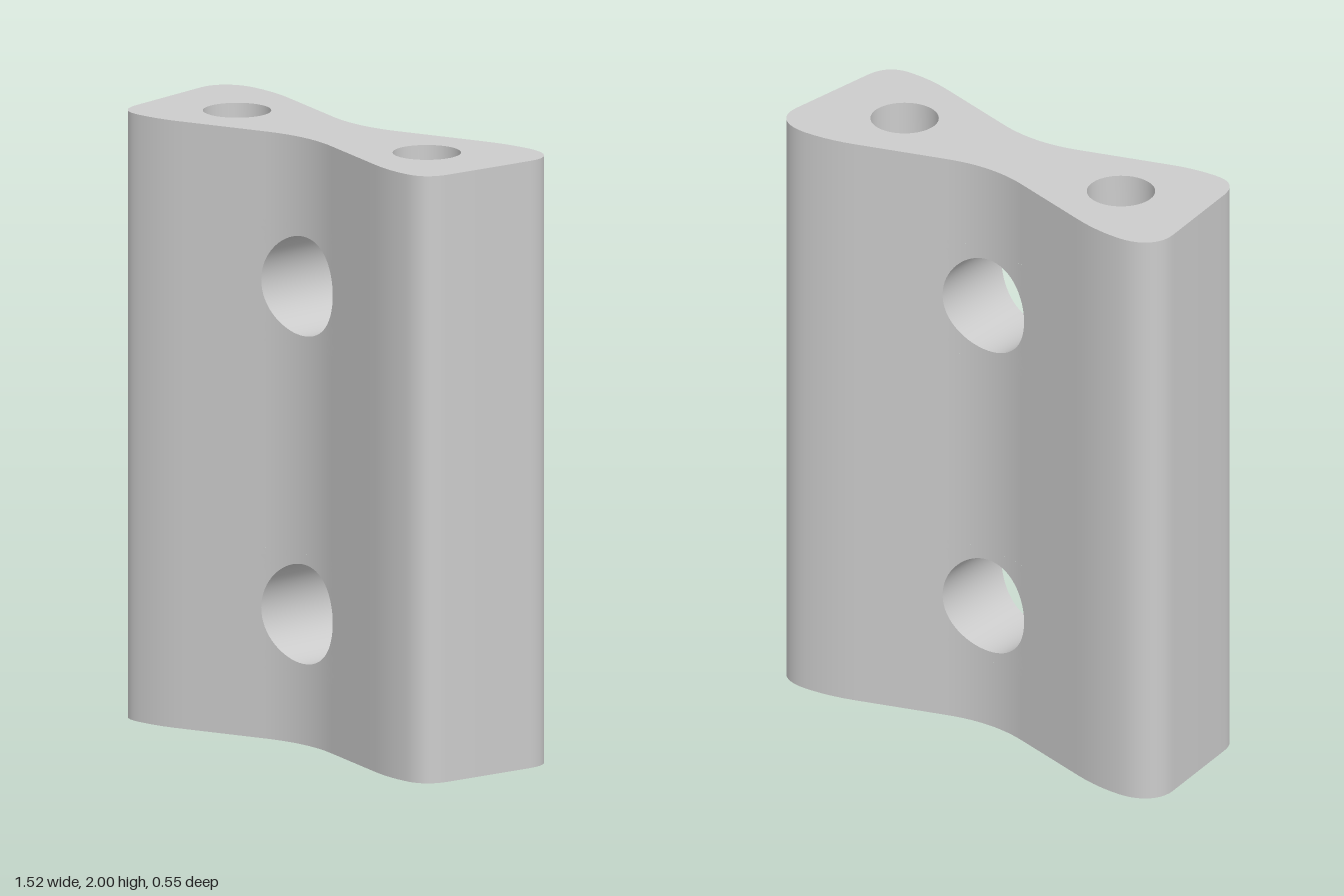
import * as THREE from 'three';
import { toCreasedNormals } from 'three/addons/utils/BufferGeometryUtils.js';
import { ParametricGeometry } from 'three/addons/geometries/ParametricGeometry.js';

const HEIGHT = 2;
const HOLE_Y = [0.43, 1.51]; // cross holes
const HOLE_R = 0.164;
const CELL = 0.2; // half size of the wall square around a cross hole
const BORE_X = 0.435; // vertical bores
const FRONT_END = 0.61, BACK_END = 0.63;

// Half thickness of the waisted block: curved waist, straight flank, flattening shoulder
function thickness(x, end) {
  const s = 0.31, a = 0.15, b = 0.45;
  x = Math.abs(x);
  if (x < a) return 0.13 + s * x * x / (2 * a);
  const line = 0.13 + s * a / 2 + s * (Math.min(x, b) - a);
  if (x < b) return line;
  const t = x - b;
  return line + s * t - s * t * t / (2 * (end - b));
}
const wallZ = (x, side) => side * thickness(x, side > 0 ? FRONT_END : BACK_END);

// Outline of one end of the block, from the front flank round the corners to the back flank
function endOutline() {
  const v = (x, z) => new THREE.Vector2(x, z);
  const flank = (side, end) => Array.from({ length: 13 }, (_, i) => {
    const x = CELL + (end - CELL) * i / 12;
    return v(x, wallZ(x, side));
  });
  const front = flank(1, FRONT_END), back = flank(-1, BACK_END).reverse();
  const c1 = new THREE.CubicBezierCurve(front[12], v(0.67, 0.272), v(0.706, 0.245), v(0.716, 0.18));
  const c2 = new THREE.CubicBezierCurve(v(0.757, -0.15), v(0.767, -0.225), v(0.715, -0.274), back[0]);
  return [...front, ...c1.getPoints(10).slice(1), ...c2.getPoints(10), ...back.slice(1)];
}

export function createModel() {
  const group = new THREE.Group();
  const material = new THREE.MeshStandardMaterial({ color: 0xcccccc });
  const add = (name, geometry) => {
    const mesh = new THREE.Mesh(geometry, material);
    mesh.name = name;
    group.add(mesh);
    return mesh;
  };
  // Smooth patch from a rule; flip turns its face the other way
  const surface = (name, rule, nu, nv, flip) =>
    add(name, new ParametricGeometry((u, v, p) => p.set(...rule(flip ? 1 - u : u, v)), nu, nv));

  // Rounded ends
  const outline = endOutline();
  const curve = new THREE.CatmullRomCurve3(outline.map(p => new THREE.Vector3(p.x, 0, p.y)));
  for (const side of [1, -1]) {
    surface(side > 0 ? 'leftEnd' : 'rightEnd', (u, v) => {
      const p = curve.getPoint(u);
      return [side * p.x, v * HEIGHT, p.z];
    }, outline.length - 1, 1, side < 0);
  }

  // Waist walls, front and back, with the cross holes left open
  const bands = [[0, HOLE_Y[0] - CELL], [HOLE_Y[0] + CELL, HOLE_Y[1] - CELL], [HOLE_Y[1] + CELL, HEIGHT]];
  for (const side of [1, -1]) {
    const label = side > 0 ? 'front' : 'back';
    for (const [y0, y1] of bands) {
      surface(label + 'WaistBand', (u, v) => {
        const x = CELL * (2 * u - 1);
        return [x, y0 + (y1 - y0) * v, wallZ(x, side)];
      }, 24, 1, side < 0);
    }
    for (const y of HOLE_Y) {
      surface(label + 'HoleSurround', (u, v) => {
        const a = u * Math.PI * 2, c = Math.cos(a), s = Math.sin(a);
        const r = HOLE_R + (CELL / Math.max(Math.abs(c), Math.abs(s)) - HOLE_R) * v;
        return [r * c, y + r * s, wallZ(r * c, side)];
      }, 64, 4, side > 0);
    }
  }

  // Cross hole linings
  for (const y of HOLE_Y) {
    surface('crossHole', (u, v) => {
      const a = u * Math.PI * 2, x = HOLE_R * Math.cos(a);
      const z0 = wallZ(x, -1), z1 = wallZ(x, 1);
      return [x, y + HOLE_R * Math.sin(a), z0 + (z1 - z0) * v];
    }, 64, 1, true);
  }

  // Flat top and bottom with round openings
  const waist = side => Array.from({ length: 23 }, (_, i) => {
    const x = side * CELL * ((i + 1) / 12 - 1);
    return new THREE.Vector2(x, wallZ(x, side));
  });
  const mirrored = outline.map(p => new THREE.Vector2(-p.x, p.y)).reverse();
  const ring = [...outline, ...waist(-1), ...mirrored, ...waist(1)];
  for (const top of [true, false]) {
    const shape = new THREE.Shape(ring.map(p => new THREE.Vector2(p.x, top ? -p.y : p.y)));
    for (const x of [-BORE_X, BORE_X]) {
      shape.holes.push(new THREE.Path().absarc(x, 0, 0.11, 0, Math.PI * 2, true));
    }
    const cap = new THREE.ShapeGeometry(shape, 24).rotateX(top ? -Math.PI / 2 : Math.PI / 2);
    add(top ? 'topFace' : 'bottomFace', cap).position.y = top ? HEIGHT : 0;
  }

  // Vertical bores, widened at both ends
  const depth = 0.4;
  const profile = [[0.11, HEIGHT], [0.11, HEIGHT - depth], [0.055, HEIGHT - depth],
    [0.055, depth], [0.11, depth], [0.11, 0]].map(p => new THREE.Vector2(...p));
  const bore = toCreasedNormals(new THREE.LatheGeometry(profile, 48), 0.6);
  for (const side of [1, -1]) {
    add(side > 0 ? 'leftBore' : 'rightBore', bore).position.x = side * BORE_X;
  }
  return group;
}
